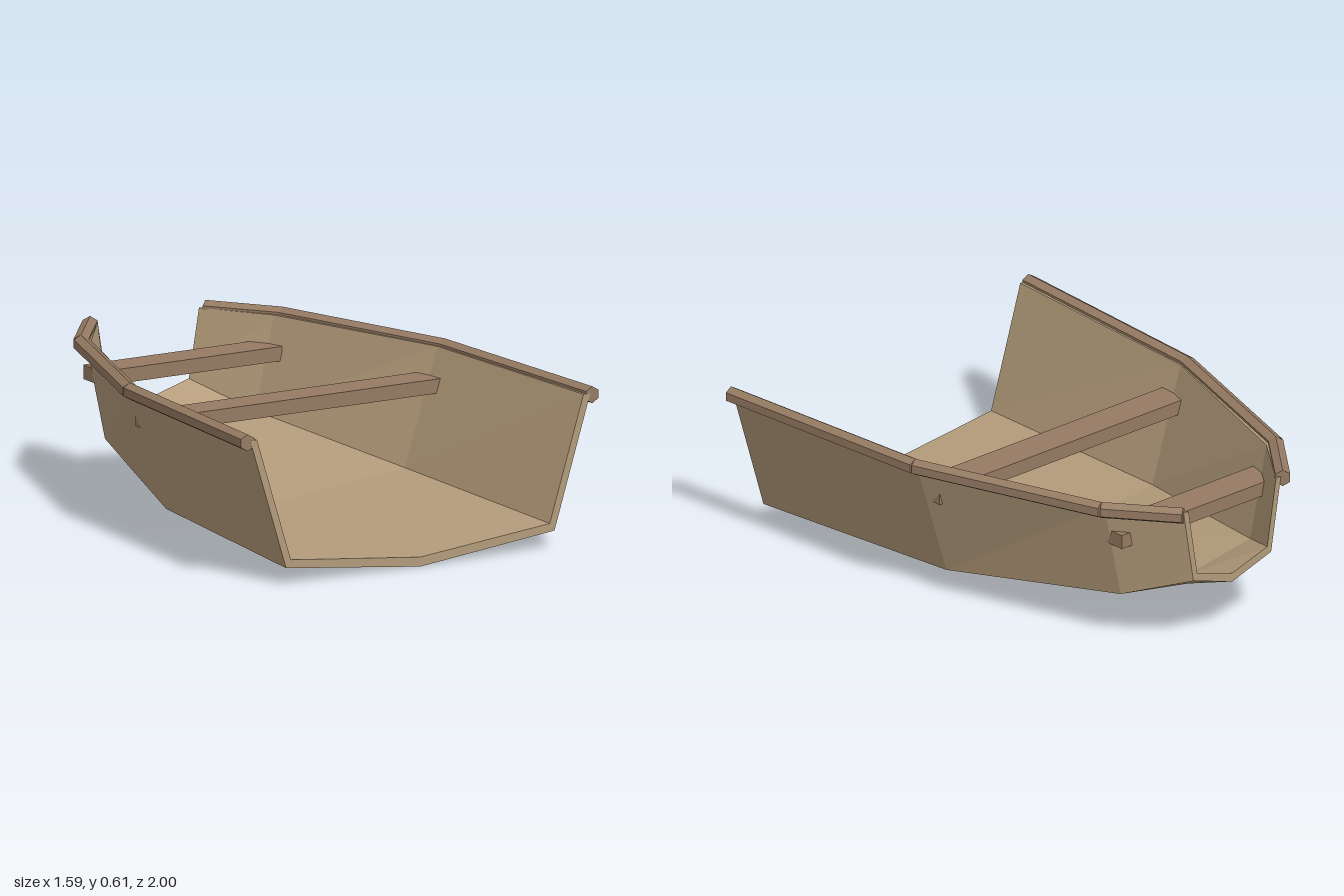
import * as THREE from 'three';

const hullMat = new THREE.MeshStandardMaterial({ color: 0xb39b7a, flatShading: true });
const trimMat = new THREE.MeshStandardMaterial({ color: 0x967b63, flatShading: true });

// Cross-sections from bow opening to stern: half-profiles of [x, y], rim > chine > keel
const stations = [
  { z: 1.0, outer: [[0.755, 0.585], [0.596, 0.07], [0, 0.003]], inner: [[0.725, 0.585], [0.575, 0.1], [0, 0.04]] },
  { z: 0.035, outer: [[0.695, 0.585], [0.54, 0.1], [0, 0.037]], inner: [[0.665, 0.585], [0.52, 0.13], [0, 0.073]] },
  { z: -0.73, outer: [[0.43, 0.585], [0.345, 0.195], [0, 0.133]], inner: [[0.405, 0.585], [0.322, 0.222], [0, 0.17]] },
  { z: -0.98, outer: [[0.25, 0.585], [0.2, 0.288], [0, 0.225]], inner: [[0.225, 0.585], [0.18, 0.315], [0, 0.26]] },
];

// Closed ring: outer skin left to right, then inner skin back again
function ring({ z, outer, inner }) {
  const full = (h) => [
    ...h.map(([x, y]) => new THREE.Vector3(-x, y, z)),
    ...h.slice(0, -1).reverse().map(([x, y]) => new THREE.Vector3(x, y, z)),
  ];
  return [...full(outer), ...full(inner).reverse()];
}

function hullGeometry() {
  const rings = stations.map(ring);
  const pos = [];
  const quad = (a, b, c, d) => [a, b, c, a, c, d].forEach((p) => pos.push(p.x, p.y, p.z));
  for (let s = 0; s < rings.length - 1; s++) {
    const f = rings[s], k = rings[s + 1];
    for (let i = 0; i < 10; i++) {
      const j = (i + 1) % 10;
      quad(f[i], k[i], k[j], f[j]);
    }
  }
  // Plank thickness at the two open ends
  const front = rings[0], back = rings[rings.length - 1];
  for (let i = 0; i < 4; i++) {
    quad(front[i], front[i + 1], front[8 - i], front[9 - i]);
    quad(back[9 - i], back[8 - i], back[i + 1], back[i]);
  }
  const geo = new THREE.BufferGeometry();
  geo.setAttribute('position', new THREE.Float32BufferAttribute(pos, 3));
  geo.computeVertexNormals();
  return geo;
}

// Six-sided rail between two points
function railSegment(a, b) {
  const geo = new THREE.CylinderGeometry(0.033, 0.033, a.distanceTo(b), 6);
  geo.rotateX(Math.PI / 2);
  const mesh = new THREE.Mesh(geo, trimMat);
  mesh.position.copy(a).lerp(b, 0.5);
  mesh.lookAt(b);
  return mesh;
}

export function createModel() {
  const boat = new THREE.Group();
  boat.name = 'rowingBoat';

  const hull = new THREE.Mesh(hullGeometry(), hullMat);
  hull.name = 'hull';
  boat.add(hull);

  // Gunwales, three straight lengths per side
  const railPath = [[0.765, 0.998], [0.7, 0.035], [0.448, -0.735], [0.256, -0.984]];
  for (const side of [1, -1]) {
    const rail = new THREE.Group();
    rail.name = side > 0 ? 'leftGunwale' : 'rightGunwale';
    const pts = railPath.map(([x, z]) => new THREE.Vector3(side * x, 0.578, z));
    for (let i = 0; i < 3; i++) {
      const seg = railSegment(pts[i], pts[i + 1]);
      seg.name = `gunwaleSegment${i + 1}`;
      rail.add(seg);
    }
    boat.add(rail);
  }

  // Bench seats; the narrow one pokes slightly through the planking
  for (const [name, halfWidth, z] of [['middleSeat', 0.635, 0.037], ['rearSeat', 0.4, -0.729]]) {
    const seat = new THREE.Mesh(new THREE.BoxGeometry(halfWidth * 2, 0.056, 0.136), trimMat);
    seat.name = name;
    seat.position.set(0, 0.449, z);
    boat.add(seat);
  }
  return boat;
}
